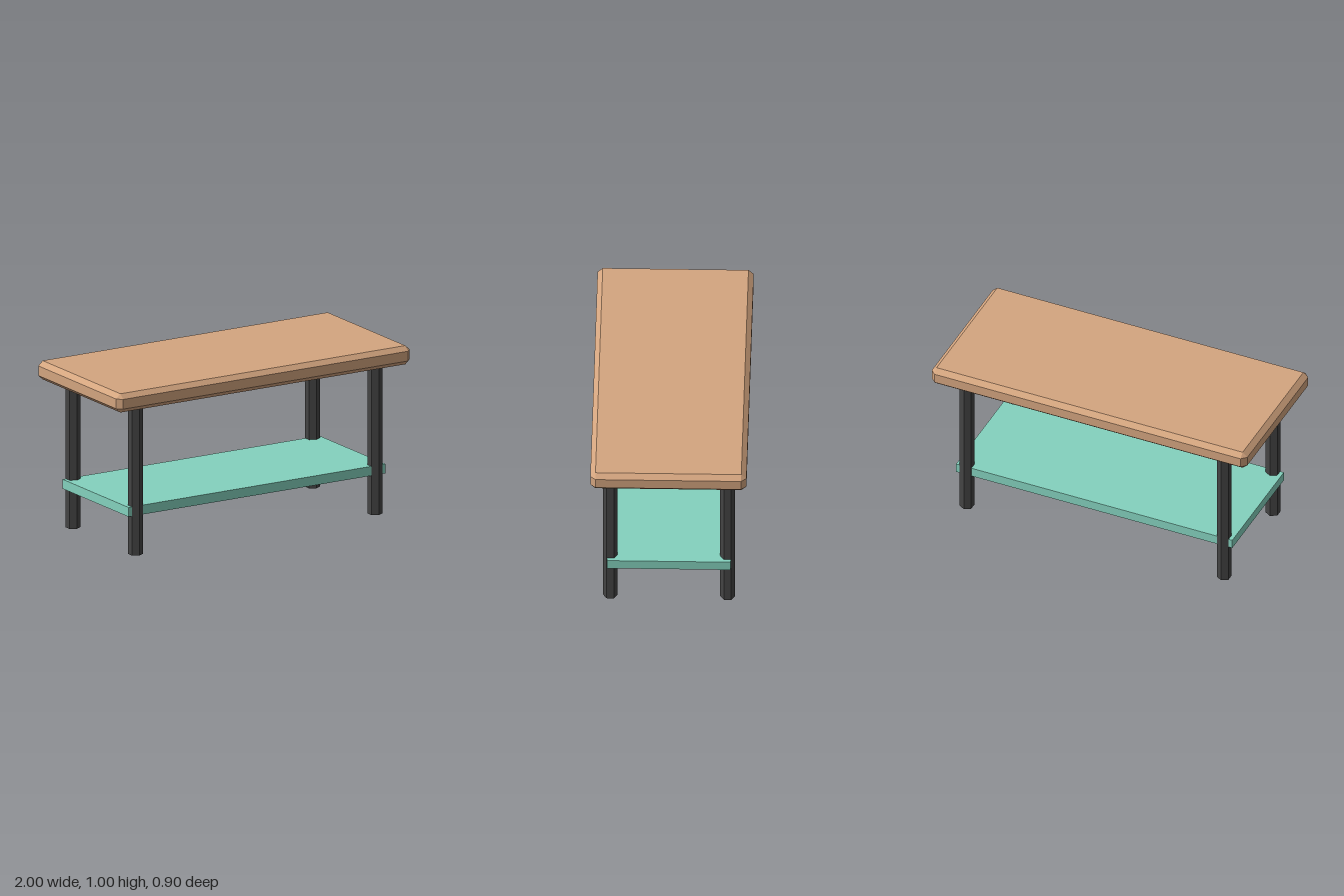
import * as THREE from 'three';
import { ConvexGeometry } from 'three/addons/geometries/ConvexGeometry.js';

function material(name, color) {
  const m = new THREE.MeshStandardMaterial({ color });
  m.name = name;
  return m;
}

// Box with every edge chamfered and every corner cut to a triangle
function chamferedBox(w, h, d, cutSide, cutY) {
  const points = [];
  for (const sx of [-1, 1]) for (const sy of [-1, 1]) for (const sz of [-1, 1]) {
    const x = w / 2, y = h / 2, z = d / 2;
    points.push(
      new THREE.Vector3(sx * x, sy * (y - cutY), sz * (z - cutSide)),
      new THREE.Vector3(sx * (x - cutSide), sy * y, sz * (z - cutSide)),
      new THREE.Vector3(sx * (x - cutSide), sy * (y - cutY), sz * z)
    );
  }
  return new ConvexGeometry(points);
}

export function createModel() {
  const model = new THREE.Group();
  model.name = 'table';
  const wood = material('warm wood', 0xd4a57f);
  const teal = material('mint shelf', 0x84d2be);
  const metal = material('dark metal', 0x444444);

  const add = (name, geometry, mat, x, y, z) => {
    const mesh = new THREE.Mesh(geometry, mat);
    mesh.name = name;
    mesh.position.set(x, y, z);
    model.add(mesh);
  };

  // Chamfered top and plain lower shelf
  add('tableTop', chamferedBox(2, 0.112, 0.9, 0.03, 0.027), wood, 0, 0.944, 0);
  add('shelf', new THREE.BoxGeometry(1.75, 0.056, 0.714), teal, 0, 0.263, 0);

  // Four hexagonal legs, a corner facing front and back
  const legHeight = 0.89;
  const legGeometry = new THREE.CylinderGeometry(0.0425, 0.0425, legHeight, 6).toNonIndexed();
  legGeometry.computeVertexNormals();
  for (const [side, sx] of [['Left', 1], ['Right', -1]]) {
    for (const [end, sz] of [['front', 1], ['back', -1]]) {
      add(`${end}${side}Leg`, legGeometry, metal, sx * 0.815, legHeight / 2, sz * 0.338);
    }
  }
  return model;
}
